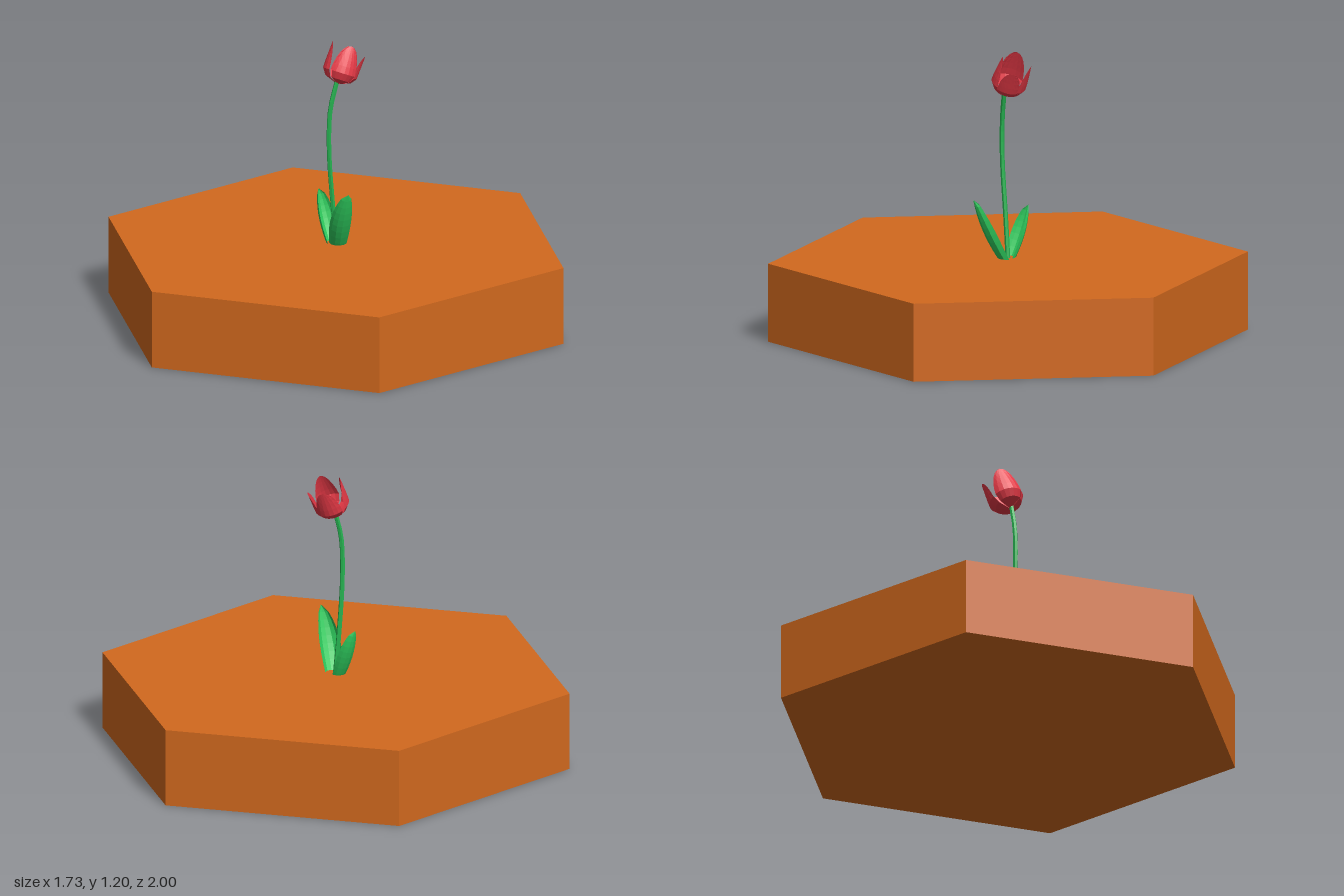
import * as THREE from 'three';
import { ParametricGeometry } from 'three/addons/geometries/ParametricGeometry.js';

const V = (x, y, z) => new THREE.Vector3(x, y, z);

function paint(color, thin = false) {
  return new THREE.MeshStandardMaterial({ color, flatShading: true, side: thin ? THREE.DoubleSide : THREE.FrontSide });
}

function part(name, geometry, material) {
  const mesh = new THREE.Mesh(geometry, material);
  mesh.name = name;
  return mesh;
}

// Cupped leaf: a bent spine, rounded width, edges folded towards the stem
function leafGeometry(base, mid, tip, out, halfWidth, cup) {
  const spine = new THREE.QuadraticBezierCurve3(base, mid, tip);
  const side = V(out.z, 0, -out.x);
  const fold = V(-out.x, 0.35, -out.z);
  return new ParametricGeometry((u, v, p) => {
    const s = 2 * u - 1;
    const width = Math.sqrt(Math.max(0, 1 - v ** 3)) * (0.75 + 0.25 * Math.sin(Math.PI * v));
    p.copy(spine.getPoint(v));
    p.addScaledVector(side, Math.sin(s * Math.PI / 2) * halfWidth * width);
    p.addScaledVector(fold, (1 - Math.cos(s * Math.PI / 2)) * cup * width);
  }, 6, 9);
}

// Petal: a rounded patch of the cup-shaped bloom, opening along +y
function petalGeometry(angle, spread, length, radius, flare) {
  return new ParametricGeometry((u, v, p) => {
    const t = Math.sin(v * Math.PI / 2);
    const a = angle + (2 * u - 1) * spread * Math.sqrt(Math.max(0, 1 - t ** 3));
    const r = radius * Math.pow(Math.sin(Math.PI * Math.min(t * 1.15, 0.5)), 0.7) + flare * t * t;
    p.set(Math.sin(a) * r, length * t ** 1.25, Math.cos(a) * r);
  }, 6, 8);
}

export function createModel() {
  const model = new THREE.Group();
  model.name = 'pottedFlower';
  const green = paint(0x2ecc5e, true);
  const red = paint(0xe63946, true);

  // Hexagonal base
  const base = part('hexagonBase', new THREE.CylinderGeometry(1, 1, 0.33, 6), paint(0xd2691e));
  base.position.y = 0.165;
  model.add(base);

  // Curved stem
  const path = new THREE.CatmullRomCurve3([
    V(0.005, 0.31, 0), V(-0.015, 0.5, 0.008), V(-0.033, 0.75, 0.02),
    V(-0.027, 0.92, 0.02), V(0.002, 1.04, 0.015),
  ]);
  model.add(part('stem', new THREE.TubeGeometry(path, 16, 0.01, 6), paint(0x27b552)));

  // Two leaves
  model.add(part('frontLeaf', leafGeometry(
    V(0.008, 0.31, 0.03), V(0.005, 0.44, 0.12), V(0.025, 0.583, 0.148), V(0, 0, 1), 0.047, 0.045), green));
  model.add(part('backLeaf', leafGeometry(
    V(-0.018, 0.31, -0.02), V(-0.05, 0.43, -0.085), V(-0.057, 0.54, -0.092),
    V(-0.45, 0, -0.89), 0.04, 0.035), green));

  // Tilted bloom: angle, spread, length, radius, flare
  const bloom = new THREE.Group();
  bloom.name = 'bloom';
  const petals = [
    [-1.75, 0.85, 0.165, 0.078, -0.008],
    [0.0, 0.8, 0.168, 0.076, -0.022],
    [1.45, 0.7, 0.142, 0.072, 0.006],
    [2.75, 0.8, 0.165, 0.078, -0.008],
  ];
  petals.forEach((p, i) => bloom.add(part('petal' + (i + 1), petalGeometry(...p), red)));
  bloom.position.set(0.002, 1.025, 0.012);
  bloom.quaternion.setFromUnitVectors(V(0, 1, 0), V(0.35, 0.93, -0.22).normalize());
  model.add(bloom);

  return model;
}
